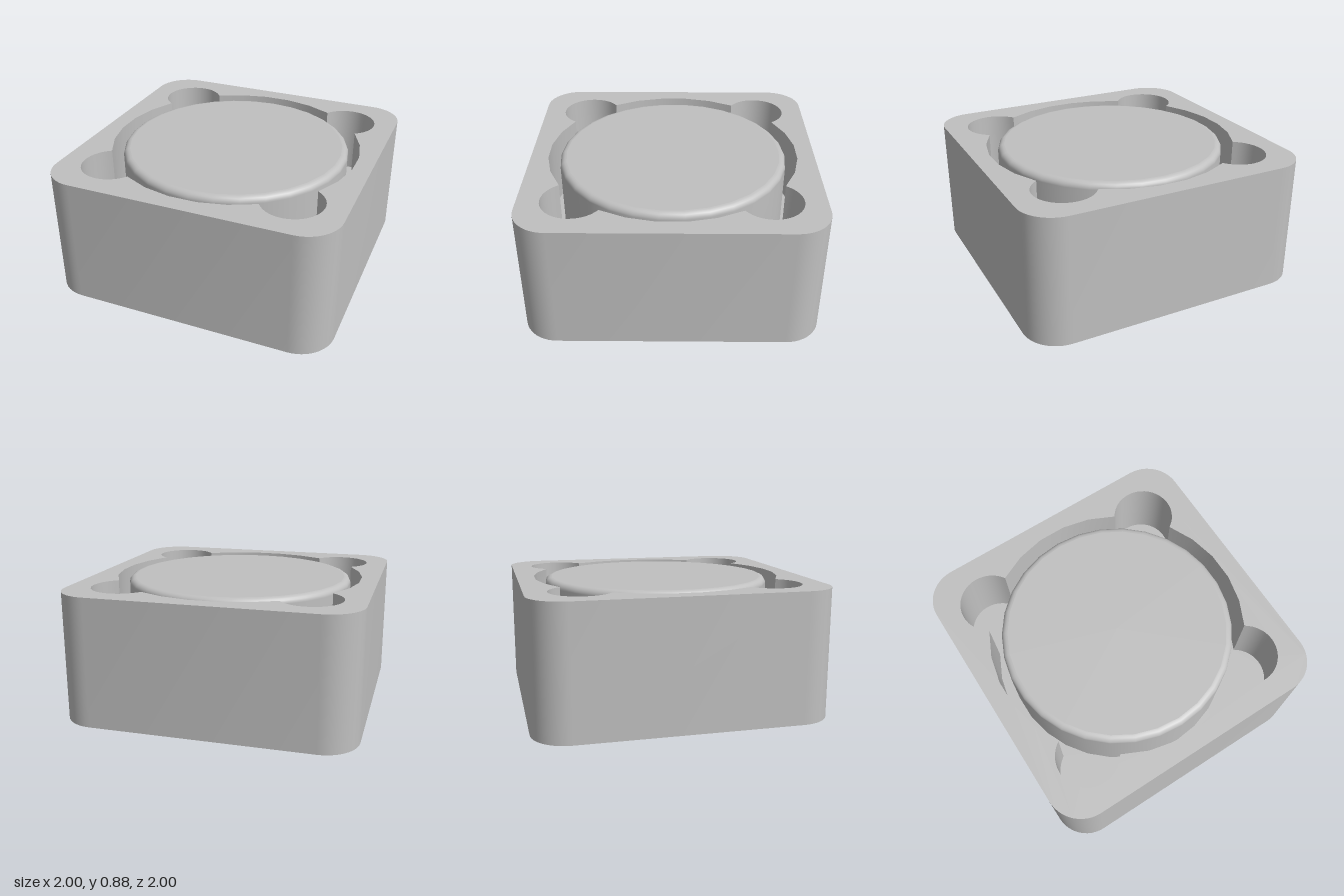
import * as THREE from 'three';
import { toCreasedNormals } from 'three/addons/utils/BufferGeometryUtils.js';

const HEIGHT = 0.885, FLOOR = 0.4;
const CORE_R = 0.8, POCKET_R = 0.88;

// Points along an arc, angles in degrees
function arc(cx, cy, r, from, to, steps) {
  return Array.from({ length: steps + 1 }, (_, i) => {
    const a = THREE.MathUtils.degToRad(from + (to - from) * i / steps);
    return new THREE.Vector2(cx + r * Math.cos(a), cy + r * Math.sin(a));
  });
}

// Rounded square, optionally with a terminal cut-out on each side
function housingOutline(cutouts) {
  const r = 0.24, c = 1 - r, points = [];
  [[1, 1], [-1, 1], [-1, -1], [1, -1]].forEach(([sx, sy], i) => {
    points.push(...arc(sx * c, sy * c, r, i * 90, i * 90 + 90, 12));
    if (cutouts && i % 2 === 1) {
      const s = i === 1 ? -1 : 1;
      for (const [x, y] of [[1, 0.4], [0.57, 0.4], [0.57, -0.4], [1, -0.4]]) {
        points.push(new THREE.Vector2(s * x, -s * y));
      }
    }
  });
  return points;
}

// Large circle joined with four corner circles
function pocketOutline() {
  const points = [];
  for (let i = 0; i < 4; i++) {
    const turn = i * 90;
    const centre = new THREE.Vector2(0.64, 0.64)
      .rotateAround(new THREE.Vector2(), turn * Math.PI / 180);
    points.push(...arc(0, 0, POCKET_R, turn - 31.5, turn + 31.5, 5));
    points.push(...arc(centre.x, centre.y, 0.21, turn - 58.6, turn + 148.6, 24).slice(1, -1));
  }
  return points;
}

// Upright wall following a closed outline
function wall(points, y0, y1, inward) {
  const pos = [];
  points.forEach((p, i) => {
    const q = points[(i + 1) % points.length];
    const [a, b] = inward ? [q, p] : [p, q];
    pos.push(a.x, y0, -a.y, b.x, y0, -b.y, b.x, y1, -b.y);
    pos.push(a.x, y0, -a.y, b.x, y1, -b.y, a.x, y1, -a.y);
  });
  const geometry = new THREE.BufferGeometry();
  geometry.setAttribute('position', new THREE.Float32BufferAttribute(pos, 3));
  return toCreasedNormals(geometry, 0.6);
}

// Horizontal plate with an optional hole
function plate(points, hole, y, down) {
  const shape = new THREE.Shape(points);
  if (hole) shape.holes.push(new THREE.Path(hole));
  return new THREE.ShapeGeometry(shape)
    .rotateX(down ? Math.PI / 2 : -Math.PI / 2).translate(0, y, 0);
}

export function createModel() {
  const group = new THREE.Group();
  const grey = new THREE.MeshStandardMaterial({ color: 0xc0c0c0, side: THREE.DoubleSide });
  grey.name = 'light grey';
  const add = (name, geometry) => {
    const mesh = new THREE.Mesh(geometry, grey);
    mesh.name = name;
    group.add(mesh);
  };

  // Hollow housing
  const pocket = pocketOutline();
  add('housingWall', wall(housingOutline(false), 0, HEIGHT, false));
  add('housingTop', plate(housingOutline(false), pocket, HEIGHT, false));
  add('housingBase', plate(housingOutline(true), null, 0, true));

  // Recess around the core
  add('pocketWall', wall(pocket, FLOOR, HEIGHT, true));
  add('pocketFloor', plate(pocket, arc(0, 0, CORE_R, 90, 438, 29), FLOOR, false));

  // Round core with a softened rim
  const fillet = 0.045, rim = CORE_R - fillet;
  const profile = [new THREE.Vector2(CORE_R, FLOOR),
    ...arc(rim, HEIGHT - fillet, fillet, 0, 90, 6)];
  add('coreSide', new THREE.LatheGeometry(profile, 30));
  add('coreTop', new THREE.CircleGeometry(rim, 30, Math.PI / 2)
    .rotateX(-Math.PI / 2).translate(0, HEIGHT, 0));

  return group;
}
